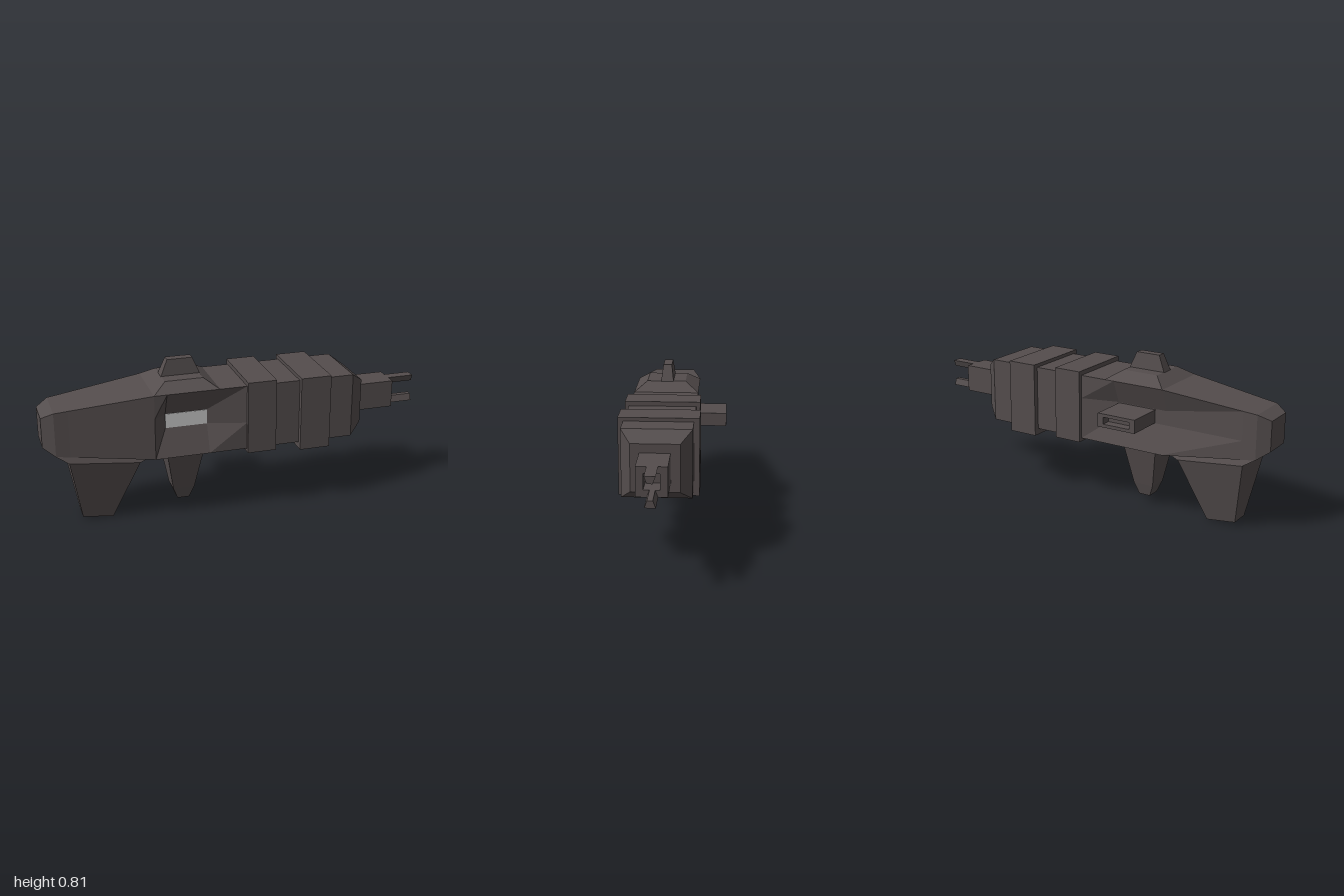
import * as THREE from 'three';

const dark = new THREE.MeshStandardMaterial({ color: 0x544d4d, flatShading: true });
const pale = new THREE.MeshStandardMaterial({ color: 0xcccccc });
const CY = 0.513, CZ = 0.063; // axis of the barrel

// Closed skin through rings of equal point count, wound outwards.
function loft(rings) {
  const n = rings[0].length, pos = rings.flat(2), idx = [];
  const last = (rings.length - 1) * n;
  for (let r = 0; r < rings.length - 1; r++) {
    for (let i = 0; i < n; i++) {
      const a = r * n + i, b = r * n + (i + 1) % n;
      idx.push(a, b, b + n, a, b + n, a + n);
    }
  }
  for (let i = 1; i < n - 1; i++) idx.push(0, i + 1, i, last, last + i, last + i + 1);
  // signed volume decides the winding
  const p = (i) => new THREE.Vector3().fromArray(pos, i * 3);
  let volume = 0;
  for (let i = 0; i < idx.length; i += 3) volume += p(idx[i]).dot(p(idx[i + 1]).cross(p(idx[i + 2])));
  if (volume < 0) idx.reverse();
  const g = new THREE.BufferGeometry();
  g.setAttribute('position', new THREE.Float32BufferAttribute(pos, 3));
  g.setIndex(idx);
  const flat = g.toNonIndexed();
  flat.computeVertexNormals();
  return flat;
}

// Rectangle lying in the xz plane; y may differ at its two x ends.
const level = (x0, x1, z0, z1, y0, y1 = y0) => [[x0, y0, z0], [x0, y0, z1], [x1, y1, z1], [x1, y1, z0]];

// Hull section: both sides can be pressed in along the middle strip.
function hullRing([x, y0, y1, z0, z1, inFront, inBack]) {
  return [
    [x, y0, z0], [x, y0, z1], [x, 0.485, z1 - inFront], [x, 0.56, z1 - inFront],
    [x, y1, z1], [x, y1, z0], [x, 0.56, z0 + inBack], [x, 0.485, z0 + inBack],
  ];
}

// Rectangular block along z with a rectangular hole right through.
function sleeve(w, h, holeW, holeH, depth) {
  const rect = (path, a, b) => path.moveTo(-a / 2, -b / 2).lineTo(a / 2, -b / 2).lineTo(a / 2, b / 2).lineTo(-a / 2, b / 2).closePath();
  const s = rect(new THREE.Shape(), w, h);
  s.holes.push(rect(new THREE.Path(), holeW, holeH));
  return new THREE.ExtrudeGeometry(s, { depth, bevelEnabled: false });
}

function box(x0, x1, y0, y1, z0, z1) {
  return new THREE.BoxGeometry(x1 - x0, y1 - y0, z1 - z0).translate((x0 + x1) / 2, (y0 + y1) / 2, (z0 + z1) / 2);
}

export function createModel() {
  const group = new THREE.Group();
  const add = (name, geometry, material = dark) => {
    const m = new THREE.Mesh(geometry, material);
    m.name = name;
    group.add(m);
  };

  // Main hull with tapered tail, side recesses and chamfered nose
  add('hull', loft([
    [-1, 0.44, 0.595, -0.02, 0.14, 0, 0],
    [-0.94, 0.397, 0.625, -0.056, 0.172, 0, 0],
    [-0.87, 0.389, 0.633, -0.063, 0.179, 0, 0],
    [-0.455, 0.343, 0.682, -0.11, 0.23, 0, 0.05],
    [-0.39, 0.343, 0.682, -0.11, 0.23, 0.055, 0.05],
    [-0.175, 0.343, 0.682, -0.11, 0.23, 0.055, 0.05],
    [0.02, 0.343, 0.682, -0.11, 0.23, 0, 0],
    [0.59, 0.343, 0.682, -0.11, 0.23, 0, 0],
    [0.66, 0.395, 0.63, -0.055, 0.18, 0, 0],
  ].map(hullRing)));

  // Bands around the forward hull
  add('rearBand', box(0.02, 0.17, 0.325, 0.705, -0.13, 0.25));
  add('frontBand', box(0.3, 0.46, 0.31, 0.7, -0.138, 0.257));

  // Raised pads above and below, and the sight
  add('topPad', loft([
    level(-0.455, -0.12, -0.11, 0.23, 0.682),
    level(-0.385, -0.19, -0.04, 0.165, 0.728),
  ]));
  add('bottomPad', loft([
    level(-0.455, -0.12, -0.11, 0.23, 0.343),
    level(-0.38, -0.19, -0.04, 0.165, 0.325),
  ]));
  add('sight', loft([
    level(-0.388, -0.186, 0.025, 0.092, 0.725),
    level(-0.352, -0.222, 0.036, 0.081, 0.81),
  ]));

  // Handles
  add('gripCollar', loft([
    level(-0.94, -0.455, -0.056, 0.175, 0.398, 0.344),
    level(-0.88, -0.525, -0.07, 0.192, 0.36, 0.32),
  ]));
  add('grip', loft([
    level(-0.88, -0.525, -0.067, 0.19, 0.361, 0.321),
    level(-0.818, -0.663, 0.01, 0.118, 0.022, 0.003),
  ]));
  add('foregrip', loft([
    level(-0.38, -0.19, -0.035, 0.163, 0.328),
    level(-0.342, -0.23, 0.01, 0.116, 0.11),
    level(-0.317, -0.254, 0.026, 0.1, 0.047),
  ]));

  // Pale panel in the front recess
  add('sidePanel', box(-0.39, -0.175, 0.485, 0.56, 0.15, 0.178), pale);

  // Open port reaching out of the back
  add('sidePort', sleeve(0.212, 0.07, 0.15, 0.036, 0.22).translate(-0.284, 0.521, -0.26));
  add('portFloor', box(-0.37, -0.2, 0.495, 0.547, -0.21, -0.19));

  // Hollow barrel and two wedge-shaped prongs
  add('barrel', sleeve(0.147, 0.145, 0.077, 0.077, 0.22).rotateY(Math.PI / 2).translate(0.64, CY, CZ));
  add('boreFloor', box(0.74, 0.76, CY - 0.05, CY + 0.05, CZ - 0.05, CZ + 0.05));
  for (const side of [-1, 1]) {
    add(side > 0 ? 'upperProng' : 'lowerProng', loft([
      level(0.85, 1, 0.047, 0.073, CY + side * 0.038),
      level(0.85, 1, 0.034, 0.086, CY + side * 0.0725),
    ]));
  }
  return group;
}
